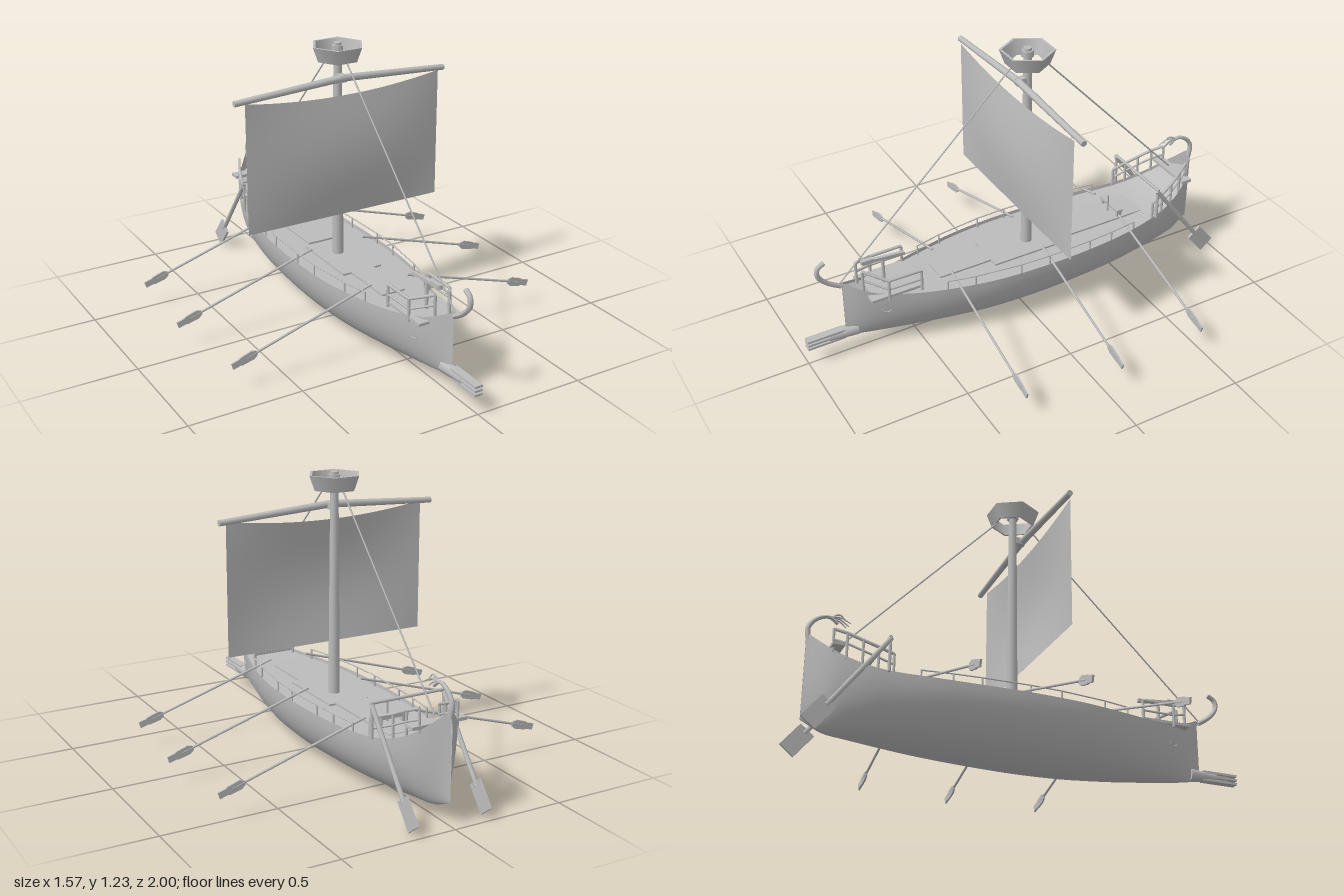
import * as THREE from 'three';

export function createModel() {
  const ship = new THREE.Group();
  const grey = new THREE.MeshStandardMaterial({ color: 0xbcbcbc, side: THREE.DoubleSide });
  grey.name = 'plain light grey';
  const V = (x, y, z) => new THREE.Vector3(x, y, z);

  const add = (name, geo, parent = ship) => {
    const m = new THREE.Mesh(geo, grey);
    m.name = name;
    parent.add(m);
    return m;
  };
  const group = (name) => {
    const g = new THREE.Group();
    g.name = name;
    ship.add(g);
    return g;
  };
  const box = (name, w, h, d, x, y, z, parent) => {
    const m = add(name, new THREE.BoxGeometry(w, h, d), parent);
    m.position.set(x, y, z);
    return m;
  };
  // Round bar between two points
  const bar = (name, a, b, r, parent, r2 = r, sides = 8) => {
    const m = add(name, new THREE.CylinderGeometry(r2, r, a.distanceTo(b), sides), parent);
    m.position.copy(a).add(b).multiplyScalar(0.5);
    m.quaternion.setFromUnitVectors(V(0, 1, 0), b.clone().sub(a).normalize());
    return m;
  };
  // Grid surface from a function of u and v in 0..1
  const surface = (nu, nv, fn) => {
    const pos = [], idx = [];
    for (let i = 0; i <= nu; i++) for (let j = 0; j <= nv; j++) pos.push(...fn(i / nu, j / nv));
    for (let i = 0; i < nu; i++) for (let j = 0; j < nv; j++) {
      const a = i * (nv + 1) + j, b = a + nv + 1;
      idx.push(a, a + 1, b, b, a + 1, b + 1);
    }
    const g = new THREE.BufferGeometry();
    g.setAttribute('position', new THREE.Float32BufferAttribute(pos, 3));
    g.setIndex(idx);
    g.computeVertexNormals();
    return g;
  };
  // Tapered tube along a path
  const horn = (name, pts, r0, r1) => {
    const c = new THREE.CatmullRomCurve3(pts), n = 16, s = 8;
    const f = c.computeFrenetFrames(n);
    return add(name, surface(n, s, (u, v) => {
      const i = Math.round(u * n), a = v * Math.PI * 2, r = r0 + (r1 - r0) * u;
      return c.getPointAt(u).addScaledVector(f.normals[i], Math.cos(a) * r)
        .addScaledVector(f.binormals[i], -Math.sin(a) * r).toArray();
    }));
  };

  // Hull stations: z, half width, keel height, gunwale height
  const stations = [
    [-0.96, 0.002, 0.09, 0.465], [-0.87, 0.09, 0.05, 0.37], [-0.77, 0.135, 0.04, 0.315],
    [-0.65, 0.165, 0.03, 0.285], [-0.45, 0.199, 0.016, 0.272], [-0.2, 0.216, 0.006, 0.268],
    [0, 0.216, 0.003, 0.268], [0.2, 0.2, 0.008, 0.268], [0.4, 0.158, 0.022, 0.27],
    [0.55, 0.115, 0.037, 0.277], [0.68, 0.072, 0.052, 0.298], [0.76, 0.038, 0.065, 0.328],
    [0.82, 0.002, 0.075, 0.36]];
  const edge = new THREE.CatmullRomCurve3(stations.map(s => V(s[1], s[3], s[0])), false, 'catmullrom');
  const keel = new THREE.CatmullRomCurve3(stations.map(s => V(0, s[2], s[0])), false, 'catmullrom');
  const rim = edge.getPoints(200);
  const at = z => rim.reduce((a, b) => Math.abs(b.z - z) < Math.abs(a.z - z) ? b : a);

  add('hull', surface(60, 32, (u, v) => {
    const e = edge.getPoint(u), k = keel.getPoint(u), a = (v - 0.5) * Math.PI;
    return [-e.x * Math.sin(a), k.y + (e.y - k.y) * (1 - Math.cos(a)), e.z];
  }));
  add('deck', surface(60, 1, (u, v) => {
    const e = edge.getPoint(u);
    return [e.x * 0.98 * (2 * v - 1), Math.min(e.y - 0.014, 0.37), e.z];
  }).rotateY(0));
  [[0.15, -0.42, 0.44, 0.268], [0.19, -0.03, 0.34, 0.259], [0.11, 0.26, 0.26, 0.259]].forEach(([w, z, d, y]) =>
    box('deckPlanks', w, 0.008, d, 0, y, z));
  box('foreDeck', 0.2, 0.012, 0.23, 0, 0.288, 0.615);
  box('sternBench', 0.25, 0.014, 0.05, 0, 0.385, -0.855);
  box('bench', 0.14, 0.012, 0.03, 0, 0.3, -0.525);
  for (const s of [-1, 1]) box('benchLeg', 0.012, 0.045, 0.025, s * 0.06, 0.275, -0.525);
  bar('benchPost', V(0, 0.255, -0.505), V(0, 0.355, -0.505), 0.005);

  // Ram with three prongs
  const ram = group('ram');
  bar('ramSocket', V(0, 0.1, 0.77), V(0, 0.1, 0.9), 0.03, ram, 0.02);
  for (const y of [0.083, 0.101, 0.119]) box('ramProng', 0.036, 0.01, 0.17, 0, y, 0.915, ram);
  box('ramSpine', 0.012, 0.045, 0.15, 0, 0.101, 0.89, ram);

  // Curled ornaments at bow and stern
  horn('bowOrnament', [V(0, 0.345, 0.825), V(0, 0.385, 0.885), V(0, 0.43, 0.922), V(0, 0.47, 0.92), V(0, 0.49, 0.89)], 0.011, 0.011);
  horn('sternOrnament', [V(0, 0.43, -0.95), V(0, 0.49, -0.955), V(0, 0.535, -0.92), V(0, 0.55, -0.87), V(0, 0.525, -0.835)], 0.012, 0.007);
  for (const [y, z, x] of [[0.56, -0.8, 0], [0.545, -0.785, 0.015], [0.545, -0.785, -0.015], [0.53, -0.8, 0]])
    horn('sternPlume', [V(0, 0.545, -0.87), V(x / 2, y + 0.008, -0.83), V(x, y - 0.015, z)], 0.005, 0.002);

  // Mast, yard and lookout basket, open below around the mast
  bar('mast', V(0, 0.25, -0.07), V(0, 1.23, -0.07), 0.025, ship, 0.017, 12);
  for (const s of [-1, 1])
    bar('yard', V(0, 1.085, -0.025), V(s * 0.51, 1.055, -0.025), 0.016, ship, 0.013, 10);
  box('yardClamp', 0.03, 0.03, 0.06, 0, 1.082, -0.045);
  const basket = group('lookoutBasket');
  basket.position.set(0, 1.188, -0.07);
  basket.rotation.y = Math.PI / 2;
  add('basketWall', new THREE.CylinderGeometry(0.118, 0.094, 0.065, 6, 1, true), basket);
  add('basketInnerWall', new THREE.CylinderGeometry(0.106, 0.086, 0.065, 6, 1, true).scale(-1, 1, 1), basket);
  for (const [r0, r1, y] of [[0.106, 0.118, 0.0325], [0.086, 0.094, -0.0325]]) {
    const lip = add('basketRim', new THREE.RingGeometry(r0, r1, 6), basket);
    lip.rotation.set(-Math.PI / 2, 0, Math.PI / 2);
    lip.position.y = y;
  }
  add('mastCollar', new THREE.CylinderGeometry(0.026, 0.026, 0.03, 6), basket).position.y = 0.015;

  // Sail with a sagging top edge and a gentle belly
  add('sail', surface(24, 16, (u, v) => {
    const x = (u * 2 - 1) * 0.47, c = 1 - (x / 0.47) ** 2;
    const top = 1.052 - 0.037 * c;
    return [x, 0.475 + (top - 0.475) * v, -0.006 + 0.028 * c * Math.sin(Math.PI * v)];
  }).scale(-1, 1, 1));
  bar('foreStay', V(0, 1.16, 0.005), V(0, 0.36, 0.83), 0.0035, ship, 0.0035, 6);
  bar('backStay', V(0, 1.16, -0.14), V(0, 0.41, -0.84), 0.0035, ship, 0.0035, 6);

  // Small bow engine on a post
  const engine = group('bowEngine');
  bar('enginePost', V(0, 0.28, 0.63), V(0, 0.415, 0.63), 0.008, engine);
  const beam = box('engineBeam', 0.016, 0.014, 0.2, 0, 0.42, 0.63, engine);
  beam.rotation.x = -0.09;
  box('engineTip', 0.02, 0.02, 0.05, 0, 0.427, 0.7, engine);

  for (const s of [-1, 1]) {
    const side = group(s > 0 ? 'leftFittings' : 'rightFittings');
    // Low side rail
    const railPt = (z, y) => V(s * (at(z).x - 0.012), y, z);
    const zs = [0.4, 0.28, 0.07, -0.07, -0.28, -0.4, -0.53];
    zs.forEach((z, i) => {
      bar('sideRailPost', railPt(z, 0.25), railPt(z, 0.305), 0.004, side);
      if (i) bar('sideRail', railPt(zs[i - 1], 0.304), railPt(z, 0.304), 0.003, side);
    });
    // Bow railing
    const bow = [[0.1, 0.5, 0.37], [0.098, 0.65, 0.37], [0.035, 0.74, 0.41]].map(p => V(s * p[0], p[2], p[1]));
    bow.forEach((p, i) => {
      bar('bowRailPost', V(p.x, 0.27, p.z), p, 0.007, side);
      if (!i) return;
      const q = bow[i - 1], drop = V(0, -0.045, 0);
      bar('bowRail', q, p, 0.007, side);
      bar('bowLowerRail', q.clone().add(drop), p.clone().add(drop), 0.005, side);
    });
    // Stern railing rising with the hull
    const stern = [[-0.64, 0.36], [-0.7, 0.385], [-0.76, 0.41], [-0.82, 0.44], [-0.87, 0.46]]
      .map(([z, y]) => V(s * (at(z).x - 0.004), y, z));
    stern.forEach((p, i) => {
      bar('sternRailPost', V(p.x, at(p.z).y - 0.01, p.z), p, 0.006, side);
      if (!i) return;
      const q = stern[i - 1], drop = V(0, -0.045, 0);
      bar('sternRail', q, p, 0.007, side);
      bar('sternLowerRail', q.clone().add(drop), p.clone().add(drop), 0.005, side);
    });
    bar('crossbeamPost', V(s * 0.168, 0.28, -0.66), V(s * 0.168, 0.43, -0.66), 0.007, side);

    // Rowing oars
    for (const [z, x0, x1] of [[-0.5, 0.1, 0.755], [-0.075, 0.13, 0.785], [0.355, 0.09, 0.74]]) {
      const oar = new THREE.Group();
      oar.name = 'oar';
      side.add(oar);
      const y = t => 0.305 - 0.2 * t;
      bar('oarShaft', V(s * x0, y(0), z), V(s * (x1 - 0.06), y(0.91), z), 0.0055, oar);
      const blade = new THREE.Shape([[-0.06, -0.01], [-0.04, -0.02], [0.012, -0.018], [0.02, -0.014], [0.055, -0.014],
        [0.055, 0.014], [0.02, 0.014], [0.012, 0.018], [-0.04, 0.02], [-0.06, 0.01]].map(p => new THREE.Vector2(...p)));
      const m = add('oarBlade', new THREE.ExtrudeGeometry(blade, { depth: 0.008, bevelEnabled: false }), oar);
      m.position.set(s * (x1 - 0.055), y(0.92), z - s * 0.004);
      m.rotation.set(0, s > 0 ? 0 : Math.PI, -0.29);
    }

    // Steering oar with a broad blade
    const steer = new THREE.Group();
    steer.name = 'steeringOar';
    side.add(steer);
    bar('steeringShaft', V(s * 0.168, 0.425, -0.655), V(s * 0.168, 0.1, -0.9), 0.01, steer);
    const paddle = box('steeringBlade', 0.01, 0.125, 0.075, s * 0.168, 0.068, -0.928, steer);
    paddle.rotation.x = 0.68;

    // Eye outline on the bow
    const eye = add('bowEye', new THREE.TorusGeometry(0.02, 0.003, 6, 20), side);
    eye.scale.set(1, 0.7, 0.8);
    eye.position.set(s * at(0.655).x * 0.92, 0.205, 0.655);
    eye.rotation.y = s * 1.24;
  }
  bar('sternCrossbeam', V(-0.175, 0.428, -0.66), V(0.175, 0.428, -0.66), 0.007);

  return ship;
}
